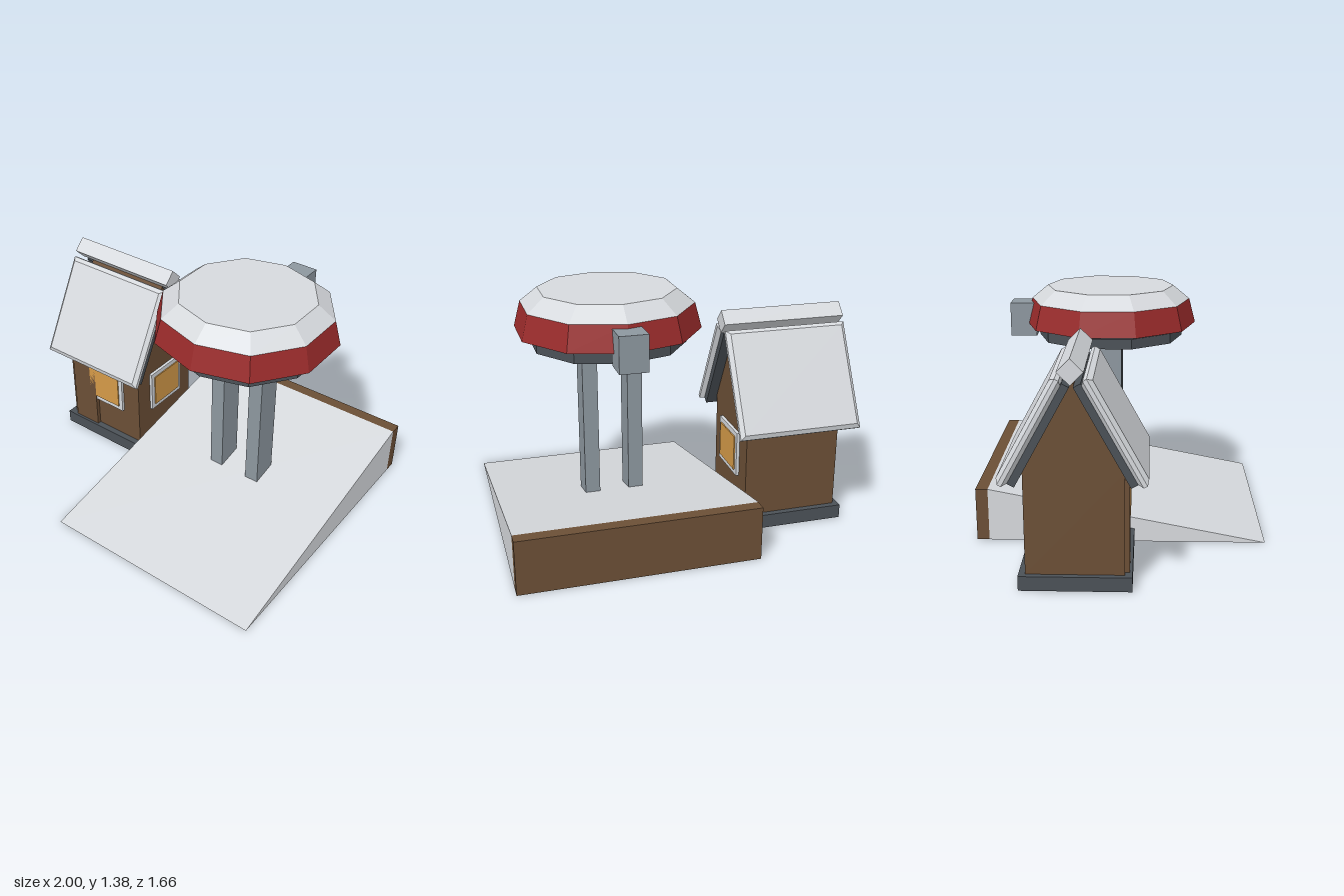
import * as THREE from 'three';

const mat = (name, color) => {
  const m = new THREE.MeshStandardMaterial({ color });
  m.name = name;
  return m;
};

export function createModel() {
  const paleGrey = mat('pale grey', 0xd6d9dd);
  const brown = mat('wood brown', 0x6b4f36);
  const dark = mat('dark slate', 0x4b5157);
  const steel = mat('steel grey', 0x8d979f);
  const red = mat('deep red', 0x9a2b2b);
  const amber = mat('amber', 0xd49a48);

  const model = new THREE.Group();
  model.name = 'rampAndHut';

  const add = (parent, name, geometry, material) => {
    const mesh = new THREE.Mesh(geometry, material);
    mesh.name = name;
    parent.add(mesh);
    return mesh;
  };
  // Box given by its limits on each axis
  const box = (parent, name, material, [x0, x1], [y0, y1], [z0, z1]) => {
    const g = new THREE.BoxGeometry(x1 - x0, y1 - y0, z1 - z0);
    g.translate((x0 + x1) / 2, (y0 + y1) / 2, (z0 + z1) / 2);
    return add(parent, name, g, material);
  };
  // Prism along x from a [z, y] outline
  const prism = (parent, name, material, points, x0, x1) => {
    const shape = new THREE.Shape(points.map(([z, y]) => new THREE.Vector2(-z, y)));
    const g = new THREE.ExtrudeGeometry(shape, { depth: x1 - x0, bevelEnabled: false });
    g.rotateY(Math.PI / 2).translate(x0, 0, 0);
    return add(parent, name, g, material);
  };

  // Ramp and its back board
  prism(model, 'ramp', paleGrey, [[0.83, 0], [-0.76, 0.31], [-0.76, 0]], -0.33, 1);
  box(model, 'backBoard', brown, [-0.33, 1], [0, 0.31], [-0.83, -0.76]);

  // Raised ten-sided disc on two posts
  const tower = new THREE.Group();
  tower.name = 'discTower';
  model.add(tower);
  for (const x of [0.2025, 0.4575]) {
    box(tower, 'post', steel, [x - 0.0425, x + 0.0425], [0.01, 1.06], [-0.165, -0.01]);
  }
  box(tower, 'postBracket', dark, [0.16, 0.5], [1.04, 1.08], [-0.2, 0.03]);
  const ring = (name, material, rTop, rBottom, y0, y1, open) => {
    let g = new THREE.CylinderGeometry(rTop, rBottom, y1 - y0, 10, 1, open).toNonIndexed();
    const p = g.attributes.position;
    for (let i = 0; i < p.count; i++) {
      // the front and back corners sit slightly in
      if (Math.abs(p.getX(i)) < 0.01) p.setZ(i, p.getZ(i) * 0.98);
    }
    g.computeVertexNormals();
    g.translate(0.333, (y0 + y1) / 2, -0.08);
    return add(tower, name, g, material);
  };
  ring('lowerPlate', dark, 0.441, 0.441, 1.077, 1.135, false);
  ring('redBand', red, 0.485, 0.523, 1.157, 1.3, false);
  ring('cap', paleGrey, 0.386, 0.485, 1.3, 1.38, false);
  box(tower, 'backBlock', steel, [0.255, 0.41], [1.08, 1.28], [-0.68, -0.525]);

  // Hut
  const hut = new THREE.Group();
  hut.name = 'hut';
  model.add(hut);
  const zc = -0.217, xc = -0.6425, apex = 1.11;
  box(hut, 'hutBase', dark, [-0.95, -0.33], [0, 0.08], [-0.51, 0.08]);
  prism(hut, 'hutWalls', brown,
    [[0.04, 0.08], [0.04, 0.64], [zc, apex], [-0.474, 0.64], [-0.474, 0.08]], -0.92, -0.365);
  box(hut, 'door', brown, [-0.885, -0.705], [0.08, 0.59], [0.03, 0.065]);

  // Windows, built facing +z
  const addWindow = (x, z, turn) => {
    const w = new THREE.Group();
    w.name = 'window';
    box(w, 'windowFrame', paleGrey, [-0.145, 0.145], [0.28, 0.545], [-0.005, 0.018]);
    box(w, 'windowPane', amber, [-0.118, 0.118], [0.31, 0.515], [0.018, 0.025]);
    w.position.set(x, 0, z);
    w.rotation.y = turn;
    hut.add(w);
  };
  addWindow(-0.632, 0.04, 0);
  addWindow(-0.365, zc, Math.PI / 2);

  // Two roof slopes: a dark board under a chamfered pale panel
  const s0 = 0.01, s1 = 0.625, chamfer = 0.023, halfW = 0.3575;
  const panel = new THREE.Shape();
  panel.moveTo(-halfW + chamfer, -s1 + chamfer);
  panel.lineTo(halfW - chamfer, -s1 + chamfer);
  panel.lineTo(halfW - chamfer, -s0 - chamfer);
  panel.lineTo(-halfW + chamfer, -s0 - chamfer);
  panel.closePath();
  const panelGeometry = new THREE.ExtrudeGeometry(panel, {
    depth: 0.022, bevelEnabled: true, bevelThickness: 0.02, bevelSize: chamfer, bevelSegments: 1,
  });
  panelGeometry.translate(0, 0, 0.06);
  for (const turn of [0, Math.PI]) {
    const side = new THREE.Group();
    side.name = turn ? 'backRoof' : 'frontRoof';
    side.position.set(xc, apex, zc);
    side.rotation.y = turn;
    const slope = new THREE.Group();
    slope.name = 'roofSlope';
    slope.rotation.x = -0.5;
    box(slope, 'roofBoard', dark, [-0.335, 0.335], [-0.605, -0.02], [0, 0.042]);
    add(slope, 'roofPanel', panelGeometry, paleGrey);
    side.add(slope);
    hut.add(side);
  }

  // Ridge beam, set on its edge
  const ridge = add(hut, 'ridgeBeam', new THREE.BoxGeometry(0.715, 0.094, 0.094), paleGrey);
  ridge.position.set(xc, 1.174, -0.22);
  ridge.rotation.x = Math.PI / 4;

  return model;
}
